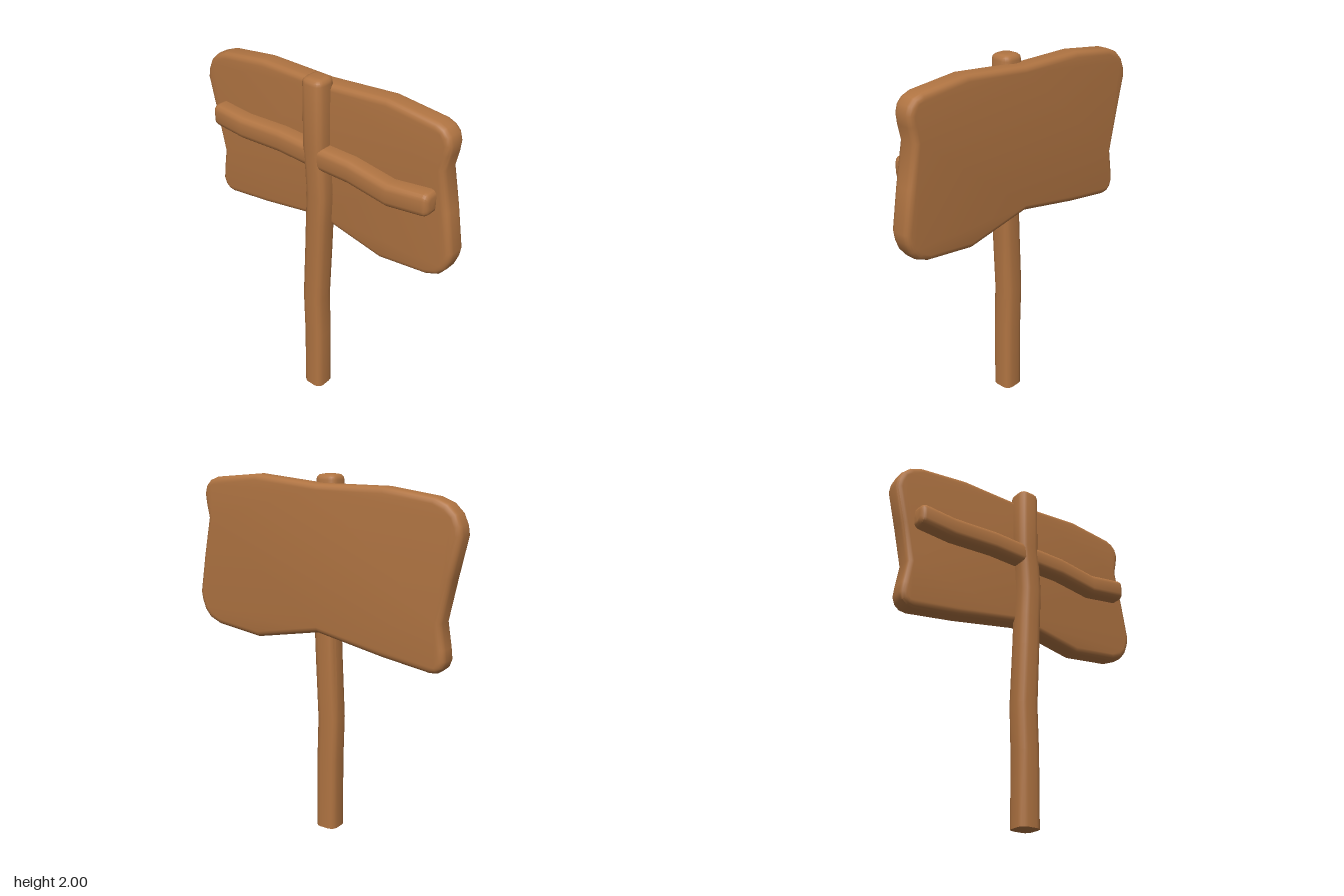
import * as THREE from 'three';
import { toCreasedNormals } from 'three/addons/utils/BufferGeometryUtils.js';

const CREASE = 0.62;

// Rounded square outline, counter-clockwise seen from above the loft
function roundedSquare(half, radius, steps) {
  const pts = [];
  for (let q = 0; q < 4; q++) {
    const a0 = (q * Math.PI) / 2;
    const sx = q === 0 || q === 3 ? 1 : -1;
    const sz = q < 2 ? 1 : -1;
    for (let i = 0; i <= steps; i++) {
      const a = a0 + (i / steps) * (Math.PI / 2);
      pts.push([sx * (half - radius) + radius * Math.cos(a), sz * (half - radius) + radius * Math.sin(a)]);
    }
  }
  return pts;
}

// Beam along y through stations [y, xCentre], with optional softened ends
function beam(path, half, radius, softStart, softEnd) {
  const soft = 0.03;
  const end = (y, x, dir) => [0, 1, 2, 3].map((k) => {
    const a = (k / 3) * (Math.PI / 2);
    return [y + dir * soft * (1 - Math.sin(a)), x, 1 - (soft / half) * (1 - Math.cos(a))];
  });
  const first = path[0], last = path[path.length - 1];
  const rings = path.slice(1, -1).map(([y, x]) => [y, x, 1]);
  if (softStart) {
    const cap = [];
    for (let k = 0; k <= 3; k++) {
      const a = (k / 3) * (Math.PI / 2);
      cap.push([first[0] + soft * (1 - Math.cos(a)), first[1], 1 - (soft / half) * (1 - Math.sin(a))]);
    }
    rings.unshift(...cap);
  } else rings.unshift([first[0], first[1], 1]);
  if (softEnd) {
    for (let k = 3; k >= 0; k--) {
      const a = (k / 3) * (Math.PI / 2);
      rings.push([last[0] - soft * (1 - Math.cos(a)), last[1], 1 - (soft / half) * (1 - Math.sin(a))]);
    }
  } else rings.push([last[0], last[1], 1]);

  const section = roundedSquare(half, radius, 3);
  const n = section.length;
  const pos = [], index = [];
  for (const [y, x, s] of rings) for (const [px, pz] of section) pos.push(x + px * s, y, pz * s);
  for (let r = 0; r < rings.length - 1; r++) {
    for (let i = 0; i < n; i++) {
      const j = (i + 1) % n, a = r * n + i, b = r * n + j;
      index.push(a, a + n, b, b, a + n, b + n);
    }
  }
  // Flat end caps
  const top = (rings.length - 1) * n;
  for (let i = 1; i < n - 1; i++) {
    index.push(0, i, i + 1);
    index.push(top, top + i + 1, top + i);
  }
  const geo = new THREE.BufferGeometry();
  geo.setAttribute('position', new THREE.Float32BufferAttribute(pos, 3));
  geo.setIndex(index);
  return geo;
}

export function createModel() {
  const group = new THREE.Group();
  group.name = 'woodenSign';
  const wood = new THREE.MeshStandardMaterial({ color: 0xb07442 });
  wood.name = 'wood';

  const add = (name, geo) => {
    const mesh = new THREE.Mesh(toCreasedNormals(geo, CREASE), wood);
    mesh.name = name;
    group.add(mesh);
  };

  // Crooked post with a flat foot and softened top
  const post = beam([
    [0, 0], [0.4, 0], [0.66, -0.008], [1.0, 0.008], [1.18, 0.015],
    [1.35, 0.023], [1.5, 0.014], [1.62, 0.002], [2, 0.002],
  ], 0.064, 0.038, false, true);
  post.translate(0, 0, 0.036);
  add('post', post);

  // Wavy crossbar, lofted upright and then laid along x
  const bar = beam([
    [-0.715, -1.573], [-0.5, -1.56], [-0.23, -1.577], [-0.06, -1.572],
    [0.06, -1.572], [0.24, -1.572], [0.48, -1.54], [0.72, -1.573],
  ], 0.063, 0.034, true, true);
  bar.rotateZ(-Math.PI / 2);
  bar.translate(0, 0, 0.033);
  add('crossbar', bar);

  // Warped board with soft edges
  const outline = [
    [-0.83, 1.74], [-0.822, 1.79], [-0.797, 1.845], [-0.75, 1.89], [-0.68, 1.918],
    [-0.4, 1.955], [0, 1.955], [0.4, 1.992], [0.68, 1.967], [0.725, 1.95],
    [0.755, 1.92], [0.768, 1.875], [0.762, 1.82], [0.745, 1.74], [0.788, 1.53],
    [0.826, 1.31], [0.818, 1.26], [0.797, 1.205], [0.76, 1.16], [0.69, 1.13],
    [0.4, 1.092], [0, 1.168], [-0.4, 1.092], [-0.68, 1.05], [-0.72, 1.055],
    [-0.75, 1.08], [-0.764, 1.12], [-0.757, 1.18], [-0.735, 1.31], [-0.782, 1.53],
  ].map(([x, y]) => new THREE.Vector2(x, y));
  const bevel = 0.032;
  const board = new THREE.ExtrudeGeometry(new THREE.Shape(outline), {
    depth: 0.12 - 2 * bevel, bevelEnabled: true, bevelThickness: bevel,
    bevelSize: bevel, bevelOffset: -bevel, bevelSegments: 4,
  });
  board.translate(0, 0, -0.105 + bevel);
  add('board', board);

  return group;
}
